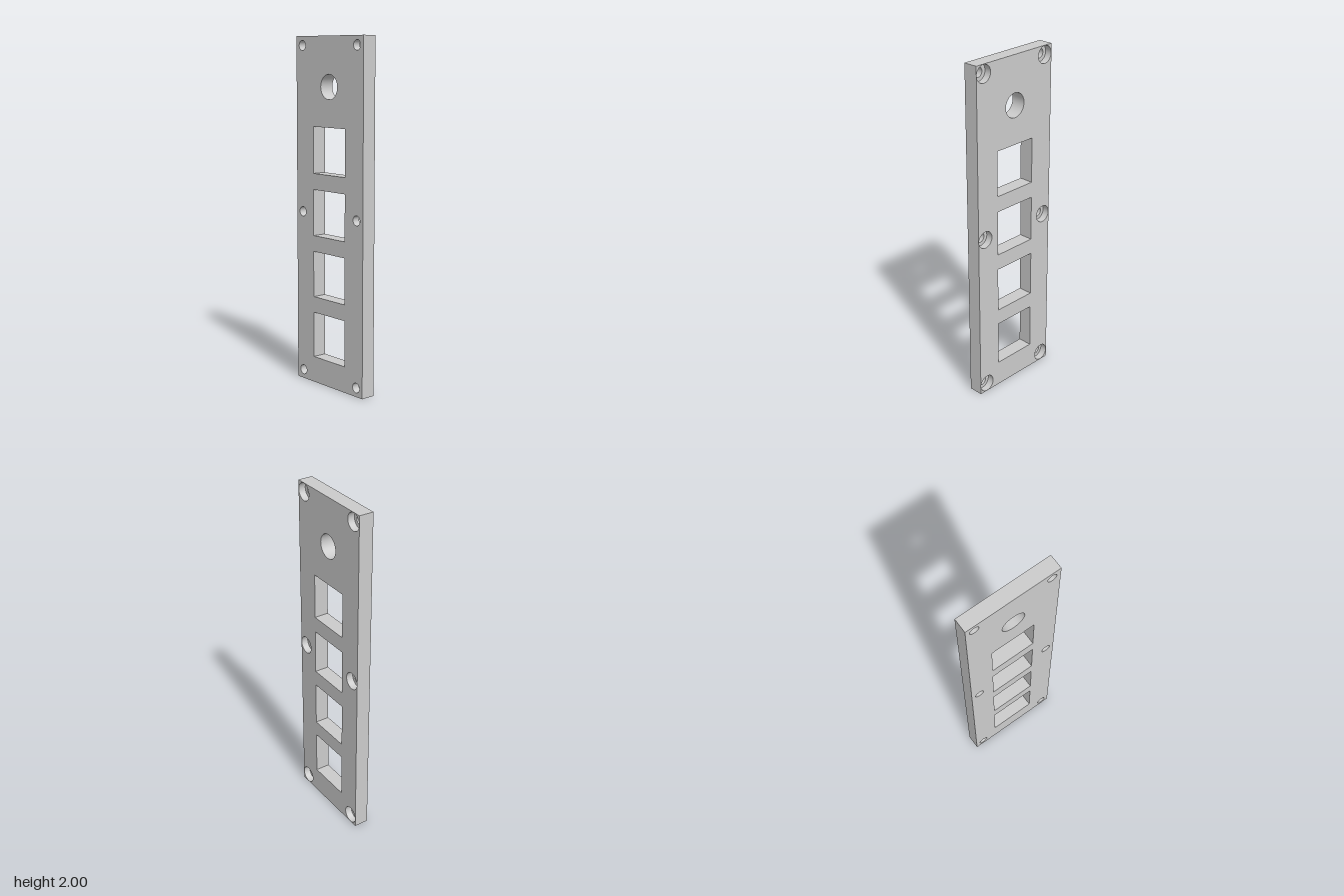
import * as THREE from 'three';

const HALF_W = 0.283, HEIGHT = 2, FRONT = 0.0425, BACK = -0.0425;
const STEP = -0.002; // depth of the counterbore floors
const SCREW_R = 0.028, BORE_R = 0.05;

const material = new THREE.MeshStandardMaterial({ color: 0xcccccc });

// Counter-clockwise outlines
const rect = (x, y, hw, hh) => [[-1, -1], [1, -1], [1, 1], [-1, 1]]
  .map(([sx, sy]) => new THREE.Vector2(x + sx * hw, y + sy * hh));

const circle = (x, y, r, n = 40) => Array.from({ length: n }, (_, i) => {
  const a = (i / n) * Math.PI * 2;
  return new THREE.Vector2(x + r * Math.cos(a), y + r * Math.sin(a));
});

// Flat face with holes at depth z, facing front or back
function face(name, outline, holes, z, facesBack = false) {
  const shape = new THREE.Shape(outline);
  shape.holes = holes.map((h) => new THREE.Path(h));
  const geo = new THREE.ShapeGeometry(shape);
  if (facesBack) {
    geo.index.array.reverse();
    geo.attributes.normal.array.forEach((v, i, a) => { a[i] = -v; });
  }
  geo.translate(0, 0, z);
  return part(name, geo);
}

// Wall swept along z around an outline, facing outward or inward
function wall(name, outline, z0, z1, inward = false, smooth = false, centre = null) {
  const pos = [], nor = [];
  const sign = inward ? -1 : 1;
  outline.forEach((a, i) => {
    const b = outline[(i + 1) % outline.length];
    const flat = new THREE.Vector2(b.y - a.y, a.x - b.x).normalize();
    const normalAt = (p) => (smooth ? p.clone().sub(centre).normalize() : flat);
    const corners = [[a, z0], [b, z0], [b, z1], [a, z0], [b, z1], [a, z1]];
    if (inward) corners.reverse();
    for (const [p, z] of corners) {
      const n = normalAt(p);
      pos.push(p.x, p.y, z);
      nor.push(n.x * sign, n.y * sign, 0);
    }
  });
  const geo = new THREE.BufferGeometry();
  geo.setAttribute('position', new THREE.Float32BufferAttribute(pos, 3));
  geo.setAttribute('normal', new THREE.Float32BufferAttribute(nor, 3));
  return part(name, geo);
}

function part(name, geo) {
  const mesh = new THREE.Mesh(geo, material);
  mesh.name = name;
  return mesh;
}

const roundWall = (name, x, y, r, z0, z1) =>
  wall(name, circle(x, y, r), z0, z1, true, true, new THREE.Vector2(x, y));

export function createModel() {
  const model = new THREE.Group();
  model.name = 'facePlate';

  const outline = rect(0, HEIGHT / 2, HALF_W, HEIGHT / 2);
  const windows = [0, 1, 2, 3].map((i) => rect(-0.001, 0.285 + i * 0.359, 0.135, 0.133));
  const round = { x: 0, y: 1.72, r: 0.07 };
  const screws = [0.052, 1, 1.948].flatMap((y) => [-0.231, 0.231].map((x) => [x, y]));
  const openings = [...windows, circle(round.x, round.y, round.r)];

  // Plate faces and outer edge
  model.add(
    face('plateFront', outline, [...openings, ...screws.map(([x, y]) => circle(x, y, SCREW_R))], FRONT),
    face('plateBack', outline, [...openings, ...screws.map(([x, y]) => circle(x, y, BORE_R))], BACK, true),
    wall('plateEdge', outline, BACK, FRONT),
  );

  // Square windows and the round opening
  windows.forEach((w) => model.add(wall('windowWall', w, BACK, FRONT, true)));
  model.add(roundWall('roundOpeningWall', round.x, round.y, round.r, BACK, FRONT));

  // Screw holes, counterbored from the back
  for (const [x, y] of screws) {
    const hole = new THREE.Group();
    hole.name = 'screwHole';
    hole.add(
      roundWall('screwShaft', x, y, SCREW_R, STEP, FRONT),
      roundWall('counterbore', x, y, BORE_R, BACK, STEP),
      face('counterboreFloor', circle(x, y, BORE_R), [circle(x, y, SCREW_R)], STEP, true),
    );
    model.add(hole);
  }
  return model;
}
